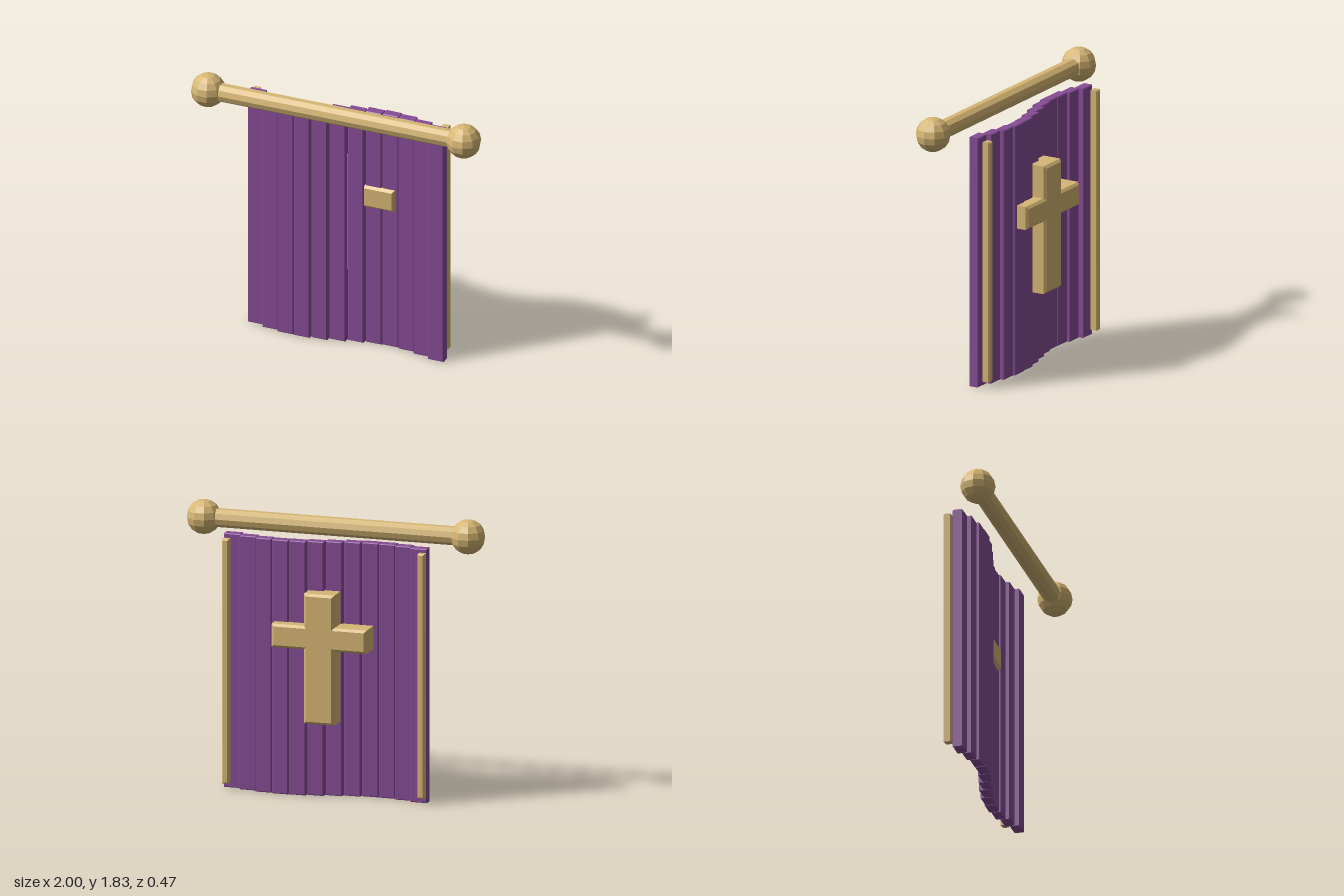
import * as THREE from 'three';

const fabric = new THREE.MeshStandardMaterial({ color: 0x864c96 });
fabric.name = 'purple cloth';
const gold = new THREE.MeshStandardMaterial({ color: 0xd6b674 });
gold.name = 'pale gold';

// Extrudes an outline along z with a single chamfer, centred on z = 0.
function chamfered(points, depth, bevel) {
  const geometry = new THREE.ExtrudeGeometry(
    new THREE.Shape(points.map(([x, y]) => new THREE.Vector2(x, y))),
    { depth: depth - 2 * bevel, bevelEnabled: true, bevelSegments: 1, bevelSize: bevel, bevelThickness: bevel, bevelOffset: -bevel }
  );
  return geometry.translate(0, 0, bevel - depth / 2);
}

function chamferedBar(width, height, depth, bevel) {
  const w = width / 2, h = height / 2;
  return chamfered([[-w, -h], [w, -h], [w, h], [-w, h]], depth, bevel);
}

// The cross-section is faceted, so vertices are split per face.
function faceted(geometry) {
  const flat = geometry.toNonIndexed();
  flat.computeVertexNormals();
  return flat;
}

export function createModel() {
  const model = new THREE.Group();
  model.name = 'banner';

  function add(name, geometry, material, x, y, z) {
    const mesh = new THREE.Mesh(geometry, material);
    mesh.name = name;
    mesh.position.set(x, y, z);
    model.add(mesh);
    return mesh;
  }

  // Cloth: twelve upright strips following a gentle wave
  const strip = chamferedBar(0.109, 1.666, 0.067, 0.005);
  for (let i = 0; i < 12; i++) {
    add(`clothStrip${i + 1}`, strip, fabric, (i - 5.5) * 0.1143, 0.833, -0.07 + 0.052 * Math.sin(i * 0.6));
  }

  // Gold trim along both side edges
  const trim = chamferedBar(0.045, 1.604, 0.055, 0.008);
  add('rightTrim', trim, gold, -0.662, 0.843, -0.138);
  add('leftTrim', trim, gold, 0.65, 0.843, -0.138);

  // Raised cross on the back of the cloth
  const a = 0.102, b = 0.319, low = 0.978, high = 1.132, foot = 0.492, top = 1.345;
  const cross = chamfered([
    [-a, foot], [a, foot], [a, low], [b, low], [b, high], [a, high],
    [a, top], [-a, top], [-a, high], [-b, high], [-b, low], [-a, low],
  ], 0.17, 0.016);
  add('cross', cross, gold, 0, 0, -0.15);

  // Hanging rod with a faceted ball at each end
  const rod = new THREE.CylinderGeometry(0.061, 0.061, 1.76, 10).rotateZ(Math.PI / 2);
  add('rod', faceted(rod), gold, 0, 1.712, 0.124);
  const ball = faceted(new THREE.SphereGeometry(0.113, 10, 8));
  for (const side of [-1, 1]) {
    add(side < 0 ? 'rightBall' : 'leftBall', ball, gold, side * 0.887, 1.712, 0.124);
  }

  return model;
}
